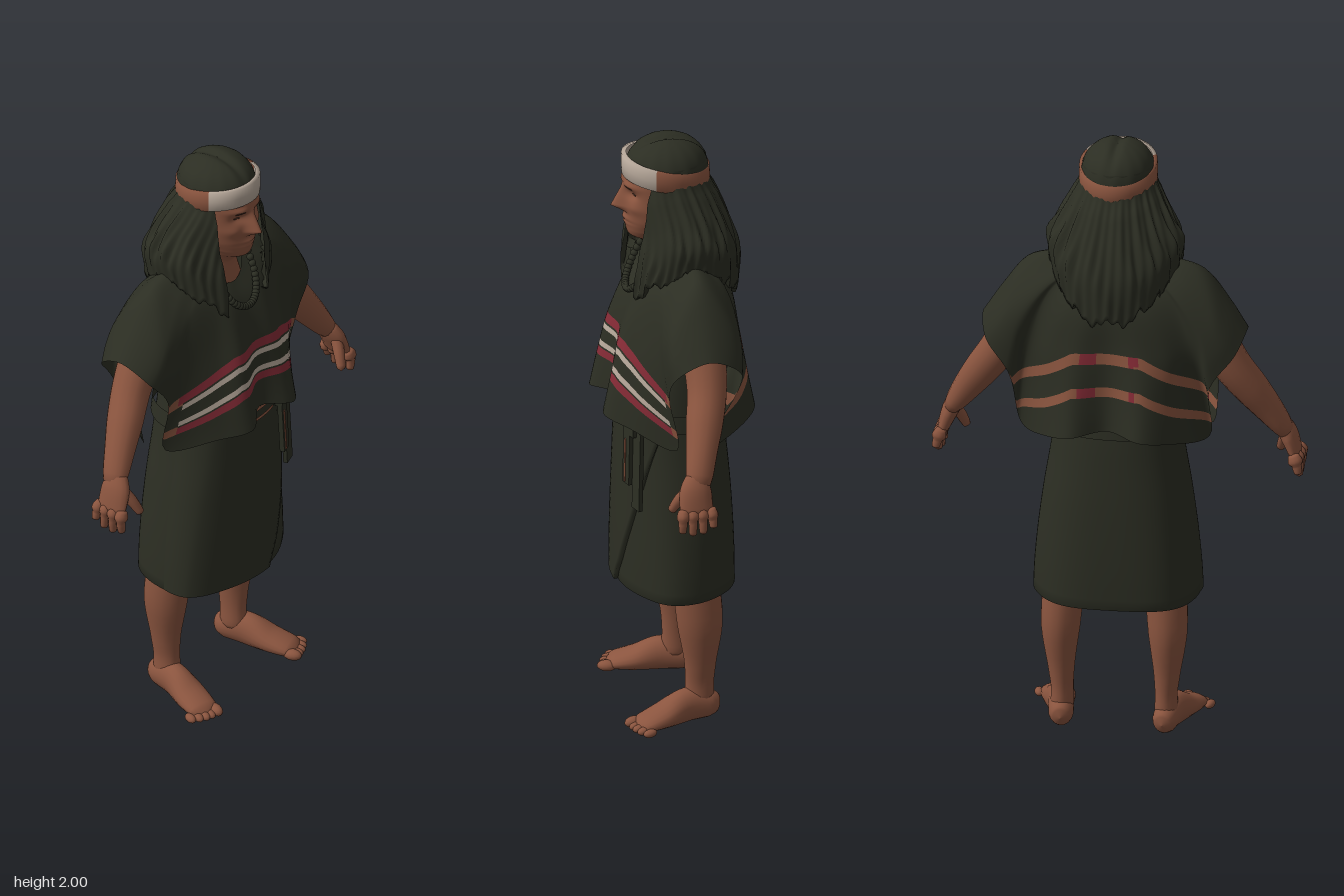
import * as THREE from 'three';

const mat = (name, color) => {
  const m = new THREE.MeshStandardMaterial({ color, side: THREE.DoubleSide });
  m.name = name;
  return m;
};
const V = (x, y, z) => new THREE.Vector3(x, y, z);
const TAU = Math.PI * 2;

// Smooth lookup in rows of [y, ...values] that run from top to bottom
const cr = (a, b, c, d, t) => b + 0.5 * t * (c - a + t * (2 * a - 5 * b + 4 * c - d + t * (3 * (b - c) + d - a)));
function sample(rows, y) {
  let i = 0;
  while (i < rows.length - 2 && y < rows[i + 1][0]) i++;
  const t = THREE.MathUtils.clamp((rows[i][0] - y) / (rows[i][0] - rows[i + 1][0]), 0, 1);
  const p = rows[Math.max(i - 1, 0)], q = rows[Math.min(i + 2, rows.length - 1)];
  return rows[i].map((b, k) => cr(p[k], b, rows[i + 1][k], q[k], t));
}

// Grid surface: u runs round, v runs along; pick() chooses a material per cell
function surface(name, nu, nv, fn, mats, closed = true, pick = () => 0) {
  const cols = closed ? nu : nu + 1, pos = [];
  for (let j = 0; j <= nv; j++) for (let i = 0; i < cols; i++) pos.push(...fn(i / nu, j / nv, j).toArray());
  const list = [].concat(mats), buckets = list.map(() => []);
  for (let j = 0; j < nv; j++) for (let i = 0; i < nu; i++) {
    const k = (i + 1) % cols, a = j * cols + i, b = j * cols + k, c = a + cols, d = b + cols;
    buckets[pick(i, j, pos[a * 3], pos[a * 3 + 2])].push(a, c, b, c, d, b);
  }
  const g = new THREE.BufferGeometry();
  g.setAttribute('position', new THREE.Float32BufferAttribute(pos, 3));
  g.setIndex(buckets.flat());
  let start = 0;
  if (list.length > 1) buckets.forEach((b, n) => { g.addGroup(start, b.length, n); start += b.length; });
  g.computeVertexNormals();
  const mesh = new THREE.Mesh(g, list.length > 1 ? list : list[0]);
  mesh.name = name;
  return mesh;
}

// Rounded limb through [x, y, z, sideRadius, refRadius], mirrored by s
function limb(name, pts, material, s = 1, ref = V(0, 0, 1), nu = 16, nv = 24) {
  const path = new THREE.CatmullRomCurve3(pts.map(p => V(p[0] * s, p[1], p[2])));
  const rad = new THREE.CatmullRomCurve3(pts.map(p => V(p[3], p[4], 0)));
  return surface(name, nu, nv, (u, v) => {
    const t = path.getTangent(v), side = ref.clone().cross(t).normalize(), b = t.clone().cross(side);
    const r = rad.getPoint(v), cap = Math.sqrt(Math.max(0, 1 - Math.pow(Math.abs(2 * v - 1), 16)));
    const p = path.getPoint(v).addScaledVector(side, r.x * cap * Math.sin(u * TAU)).addScaledVector(b, r.y * cap * Math.cos(u * TAU));
    p.y = Math.max(p.y, 0);
    return p;
  }, material);
}

export function createModel() {
  const model = new THREE.Group();
  model.name = 'figure';
  const cloth = mat('dark cloth and hair', 0x2c2e23), skin = mat('brown skin', 0x8b553f);
  const red = mat('red stripe', 0x862b36), beige = mat('beige weave', 0xb9aa9c), dark = mat('dark eyes', 0x3a241b);
  const add = (...m) => model.add(...m);
  const ball = (name, m, r, x, y, z, sx = 1, sy = 1, sz = 1) => {
    const b = new THREE.Mesh(new THREE.SphereGeometry(r, 14, 10), m);
    b.position.set(x, y, z); b.scale.set(sx, sy, sz); b.name = name; add(b);
    return b;
  };

  // Head and neck, with features pushed out of a lofted skull
  const skull = [[1.95, 0.005, 0.02, 0.005], [1.935, 0.08, 0.02, 0.09], [1.915, 0.104, 0.03, 0.118], [1.86, 0.106, 0.035, 0.12],
    [1.78, 0.102, 0.04, 0.112], [1.73, 0.091, 0.045, 0.107], [1.69, 0.072, 0.05, 0.098], [1.668, 0.059, 0.05, 0.088],
    [1.652, 0.055, 0.032, 0.072], [1.62, 0.06, 0.015, 0.064], [1.5, 0.11, -0.01, 0.09]];
  const bump = (x, y, cx, cy, wx, wy) => Math.exp(-(((x - cx) / wx) ** 2) - ((y - cy) / wy) ** 2);
  const headPoint = (a, y) => {
    const [, rx, zc, rz] = sample(skull, y), x = rx * Math.sin(a), e = Math.abs(x);
    let z = zc + rz * Math.cos(a);
    if (Math.cos(a) > 0) {
      const h = y > 1.775 ? (1.855 - y) / 0.08 : (y - 1.75) / 0.025;
      z += 0.046 * Math.max(0, h) * Math.exp(-((x / (0.014 + 0.12 * Math.max(0, 1.85 - y))) ** 2));
      z += -0.014 * bump(e, y, 0.042, 1.825, 0.024, 0.016) + 0.009 * bump(e, y, 0.042, 1.857, 0.035, 0.012)
        + 0.008 * bump(e, y, 0.062, 1.78, 0.025, 0.02) + 0.009 * bump(x, y, 0, 1.724, 0.03, 0.014)
        - 0.009 * bump(x, y, 0, 1.722, 0.035, 0.004);
    }
    return V(x, y, z);
  };
  add(surface('head', 96, 90, (u, v) => headPoint(u * TAU - 0.6 * Math.sin(u * TAU), 1.95 - 0.45 * v), skin));
  for (const s of [1, -1]) {
    const p = headPoint(s * 0.41, 1.825), q = headPoint(s * 0.44, 1.852);
    ball('eye', dark, 0.013, p.x, p.y, p.z, 1, 0.25, 0.25).rotation.y = s * 0.35;
    ball('eyebrow', dark, 0.02, q.x, q.y, q.z, 1, 0.1, 0.12).rotation.y = s * 0.4;
  }

  // Hair crown with a centre parting
  add(surface('hairCrown', 64, 18, (u, v) => {
    const a = u * TAU, t = v * Math.PI / 2, c = Math.max(0, Math.cos(t)), k = Math.sin(t) * (1 + 0.008 * Math.sin(14 * a));
    const x = 0.119 * k * Math.sin(a);
    return V(x, 1.87 + 0.133 * c ** 0.75 - 0.013 * Math.exp(-((x / 0.016) ** 2)) * c, 0.016 + 0.134 * k * Math.cos(a));
  }, cloth));

  // Long loose hair, open at the face: [y, width, centre z, depth, opening angle]
  const hairRows = [[1.93, 0.112, 0.015, 0.125, 0.95], [1.86, 0.121, 0.012, 0.13, 0.95], [1.8, 0.142, 0, 0.15, 0.82],
    [1.7, 0.18, -0.022, 0.165, 0.62], [1.6, 0.215, -0.03, 0.182, 0.46], [1.47, 0.205, -0.02, 0.19, 0.5]];
  add(surface('longHair', 160, 30, (u, v, j) => {
    const w = Math.min(1, j / 29), r = sample(hairRows, 1.93 - 0.46 * w);
    const a = r[4] + u * (TAU - 2 * r[4]);
    const lock = Math.sin(17 * a + 2.5 * Math.sin(3 * a) + 2.5 * Math.sin(4 * w)) + 0.6 * Math.sin(37 * a + 4 * w);
    const k = (1 + 0.032 * lock * Math.max(0, w - 0.1)) * (j === 30 ? 0.86 : 1);
    const hem = 1.455 + 0.14 * Math.sin(a) ** 2 + 0.016 * lock;
    return V(r[1] * k * Math.sin(a), 1.93 - (1.93 - hem) * w, r[2] + r[3] * k * Math.cos(a));
  }, cloth, false));

  // Headband: pale in front, brown behind, lower at the back
  const bandRing = [[0.88, 0.034], [0.99, 0.034], [1, 0], [0.99, -0.034], [0.9, -0.034]];
  add(surface('headband', 64, 4, (u, v, j) => {
    const a = u * TAU, [k, dy] = bandRing[j];
    return V(0.125 * k * Math.sin(a), 1.89 + 0.026 * Math.cos(a) + dy, 0.02 + 0.142 * k * Math.cos(a));
  }, [beige, skin], true, i => (Math.cos((i + 0.5) / 64 * TAU) > 0.34 ? 0 : 1)));

  // Poncho: shoulder-to-hem columns, front centre to left sleeve, then the back
  const front = [
    [[0, 1.47, 0.13], [0, 1.35, 0.17], [0, 1.2, 0.185], [0, 1.1, 0.19]],
    [[0.07, 1.48, 0.13], [0.09, 1.35, 0.185], [0.1, 1.2, 0.22], [0.1, 1.085, 0.245]],
    [[0.12, 1.5, 0.11], [0.16, 1.35, 0.145], [0.18, 1.2, 0.165], [0.19, 1.065, 0.175]],
    [[0.19, 1.53, 0.08], [0.25, 1.37, 0.1], [0.285, 1.2, 0.085], [0.3, 1.03, 0.05]],
    [[0.2, 1.545, 0.065], [0.29, 1.42, 0.09], [0.31, 1.32, 0.09], [0.325, 1.24, 0.08]],
    [[0.22, 1.575, 0.035], [0.32, 1.47, 0.07], [0.365, 1.4, 0.075], [0.4, 1.345, 0.065]],
    [[0.2, 1.625, -0.03], [0.28, 1.6, -0.03], [0.36, 1.5, -0.03], [0.425, 1.4, -0.03]]];
  const back = [
    [[0.19, 1.53, -0.125], [0.25, 1.37, -0.135], [0.285, 1.2, -0.09], [0.303, 1.02, -0.035]],
    [[0.12, 1.5, -0.16], [0.18, 1.35, -0.175], [0.19, 1.2, -0.18], [0.2, 1.05, -0.19]],
    [[0.06, 1.5, -0.17], [0.1, 1.35, -0.195], [0.11, 1.2, -0.22], [0.11, 1.07, -0.245]],
    [[0, 1.5, -0.17], [0, 1.35, -0.18], [0, 1.2, -0.185], [0, 1.08, -0.19]]];
  const backSleeve = front.slice(4, 6).reverse().map(c => c.map(([x, y, z]) => [x, y, -0.065 - z]));
  const half = [...front, ...backSleeve, ...back].map((c, i) => {
    const a = i / 12 * Math.PI, f = Math.cos(a);
    return [[0.1 * Math.sin(a), 1.625 - 0.085 * Math.max(0, f) ** 1.5 + 0.015 * Math.min(0, f), -0.01 + 0.095 * f], ...c];
  });
  const full = [...half, ...half.slice(1, -1).reverse().map(c => c.map(([x, y, z]) => [-x, y, z]))];
  const rings = half[0].map((_, r) => new THREE.CatmullRomCurve3(full.map(c => V(...c[r])), true));

  // Stripe edges follow sloping levels, so each stripe is its own row of cells
  const levels = [1.345, 1.315, 1.308, 1.29, 1.248, 1.23, 1.224, 1.198];
  const bands = [2, 0, 1, 0, 1, 0, 2], backBands = [3, 3, 0, 0, 0, 3, 3];
  const TOP = 16, LOW = 6, cache = new Map();
  const column = u => {
    if (cache.has(u)) return cache.get(u);
    const line = new THREE.CatmullRomCurve3(rings.map(r => r.getPoint(u)));
    const cuts = levels.map(level => {
      let lo = 0, hi = 1;
      for (let n = 0; n < 22; n++) {
        const m = (lo + hi) / 2, p = line.getPoint(m);
        if (p.y > level - 0.62 * Math.max(0, Math.abs(p.x) - 0.11)) lo = m; else hi = m;
      }
      return hi;
    });
    cache.set(u, { line, cuts });
    return cache.get(u);
  };
  add(surface('poncho', 144, TOP + bands.length + LOW, (u, v, j) => {
    const { line, cuts } = column(u), end = cuts[cuts.length - 1], k = j - TOP;
    return line.getPoint(k <= 0 ? cuts[0] * j / TOP : k < levels.length ? cuts[k] : end + (1 - end) * (k - levels.length + 1) / LOW);
  }, [cloth, beige, red, skin], true, (i, j, x, z) => {
    if (z > 0 && Math.abs(x) < 0.28) return bands[j - TOP] || 0;
    const b = backBands[j - TOP] || 0;
    return b && z < 0 && ((x > 0.04 && x < 0.1) || (x > -0.085 && x < -0.06)) ? 2 : b;
  }));

  // Bead necklace
  for (let i = 0; i <= 26; i++) {
    const a = (i / 26 - 0.5) * 2;
    ball('necklaceBead', cloth, 0.012, 0.085 * Math.sin(a * 1.5), 1.475 + 0.13 * a * a, 0.148 - 0.075 * a * a);
  }

  // Wrapped skirt, running up as the tunic body, with its overlapping front panel
  const skirtRows = [[1.5, 0.17, -0.02, 0.09], [1.3, 0.18, -0.01, 0.125], [1.1, 0.195, 0.005, 0.155], [1, 0.205, 0.003, 0.165],
    [0.8, 0.235, -0.002, 0.176], [0.6, 0.258, -0.004, 0.183], [0.455, 0.266, -0.004, 0.184]];
  const soft = c => Math.sign(c) * Math.abs(c) ** 0.88;
  const skirtPoint = (a, y, off = 0, k = 1) => {
    const [, rx, zc, rz] = sample(skirtRows, y), o = off + 0.008 * Math.sin(5 * a + 1) * Math.max(0, 1.05 - y);
    return V((rx + o) * k * soft(Math.sin(a)), y, zc + (rz + o) * k * soft(Math.cos(a)));
  };
  add(surface('skirt', 72, 31, (u, v, j) => skirtPoint(u * TAU, 1.5 - 1.045 * Math.min(1, j / 30), 0, j === 31 ? 0.95 : 1), cloth));
  const edgeX = [[1.06, 0.19], [0.85, 0.17], [0.7, 0.135], [0.55, 0.085], [0.452, 0.04]];
  add(surface('skirtOverlap', 32, 20, (u, v) => {
    const y = 1.06 - 0.605 * v, end = Math.asin(Math.min(0.95, sample(edgeX, y)[1] / sample(skirtRows, y)[1]) ** 1.136);
    const w = Math.min(1, u * 32 / 31);
    return skirtPoint(-1.5 + (end + 1.5) * w, y, u === 1 ? -0.003 : 0.013 * Math.min(1, w * 4));
  }, cloth, false));

  // Sash round the waist, with woven trim in front and hanging ends
  add(surface('sash', 64, 1, (u, v) => skirtPoint(u * TAU, 1.1 - 0.06 * v, 0.015), cloth));
  const trim = (y0, from, to) => add(surface('sashTrim', 16, 1, (u, v) => skirtPoint(from + (to - from) * u, y0 - 0.011 * v, 0.018), skin, false));
  trim(1.088, -0.6, 0.5);
  trim(1.054, -0.5, 0.35);
  const strip = (name, m, w, h, d, x, y, z) => {
    const b = new THREE.Mesh(new THREE.BoxGeometry(w, h, d), m);
    b.position.set(x, y, z); b.rotation.set(-0.04, 0.3, 0.04); b.name = name; add(b);
  };
  strip('sashKnot', cloth, 0.06, 0.06, 0.04, 0.145, 1.055, 0.155);
  strip('sashFrontEnd', cloth, 0.04, 0.2, 0.016, 0.14, 0.95, 0.172);
  strip('sashEndStripe', skin, 0.008, 0.15, 0.004, 0.138, 0.93, 0.182);
  strip('sashSideEnd', cloth, 0.045, 0.27, 0.014, 0.182, 0.91, 0.15);

  for (const s of [1, -1]) {
    // Arm, palm, fingers and thumb
    add(limb('arm', [[0.22, 1.52, -0.03, 0.07, 0.07], [0.31, 1.38, -0.035, 0.068, 0.07], [0.375, 1.27, -0.03, 0.062, 0.064],
      [0.43, 1.19, -0.01, 0.057, 0.06], [0.485, 1.11, 0.012, 0.046, 0.05], [0.55, 1.01, 0.038, 0.028, 0.042]], skin, s));
    add(limb('palm', [[0.522, 1.06, 0.033, 0.026, 0.034], [0.545, 1.01, 0.044, 0.028, 0.052], [0.57, 0.94, 0.046, 0.018, 0.054]], skin, s));
    for (let f = 0; f < 4; f++) {
      const z = 0.002 + f * 0.029, tip = 0.868 + 0.008 * (f - 1.8) ** 2;
      add(limb('finger', [[0.563, 0.965, z, 0.016, 0.015], [0.577, 0.925, z + (f - 2) * 0.003, 0.016, 0.015],
        [0.584 - f * 0.004, tip, z + (f - 2) * 0.004, 0.012, 0.012]], skin, s, V(0, 0, 1), 10, 12));
    }
    add(limb('thumb', [[0.54, 1.02, 0.062, 0.019, 0.02], [0.52, 0.975, 0.092, 0.018, 0.018], [0.502, 0.925, 0.117, 0.013, 0.013]], skin, s, V(0, 0, 1), 10, 12));

    // Leg, foot and toes
    add(limb('leg', [[0.14, 0.75, -0.02, 0.08, 0.085], [0.158, 0.55, -0.035, 0.07, 0.078], [0.172, 0.35, -0.053, 0.064, 0.075],
      [0.17, 0.2, -0.055, 0.043, 0.052], [0.167, 0.12, -0.053, 0.036, 0.047], [0.168, 0.04, -0.05, 0.042, 0.052]], skin, s));
    add(limb('foot', [[0.163, 0.038, -0.118, 0.025, 0.03], [0.167, 0.045, -0.08, 0.04, 0.048], [0.18, 0.052, -0.01, 0.042, 0.058],
      [0.202, 0.034, 0.075, 0.054, 0.038], [0.228, 0.018, 0.165, 0.05, 0.018]], skin, s, V(0, 1, 0), 18, 24));
    for (let t = 0; t < 5; t++) {
      const r = t ? 0.014 : 0.019;
      const toe = ball('toe', skin, r, s * (0.193 + t * 0.0195 + (t ? 0.004 : 0)), r * 0.95, 0.166 - t * t * 0.0022, 1.05, 0.95, 1.7);
      toe.rotation.y = s * 0.3;
    }
  }
  return model;
}
